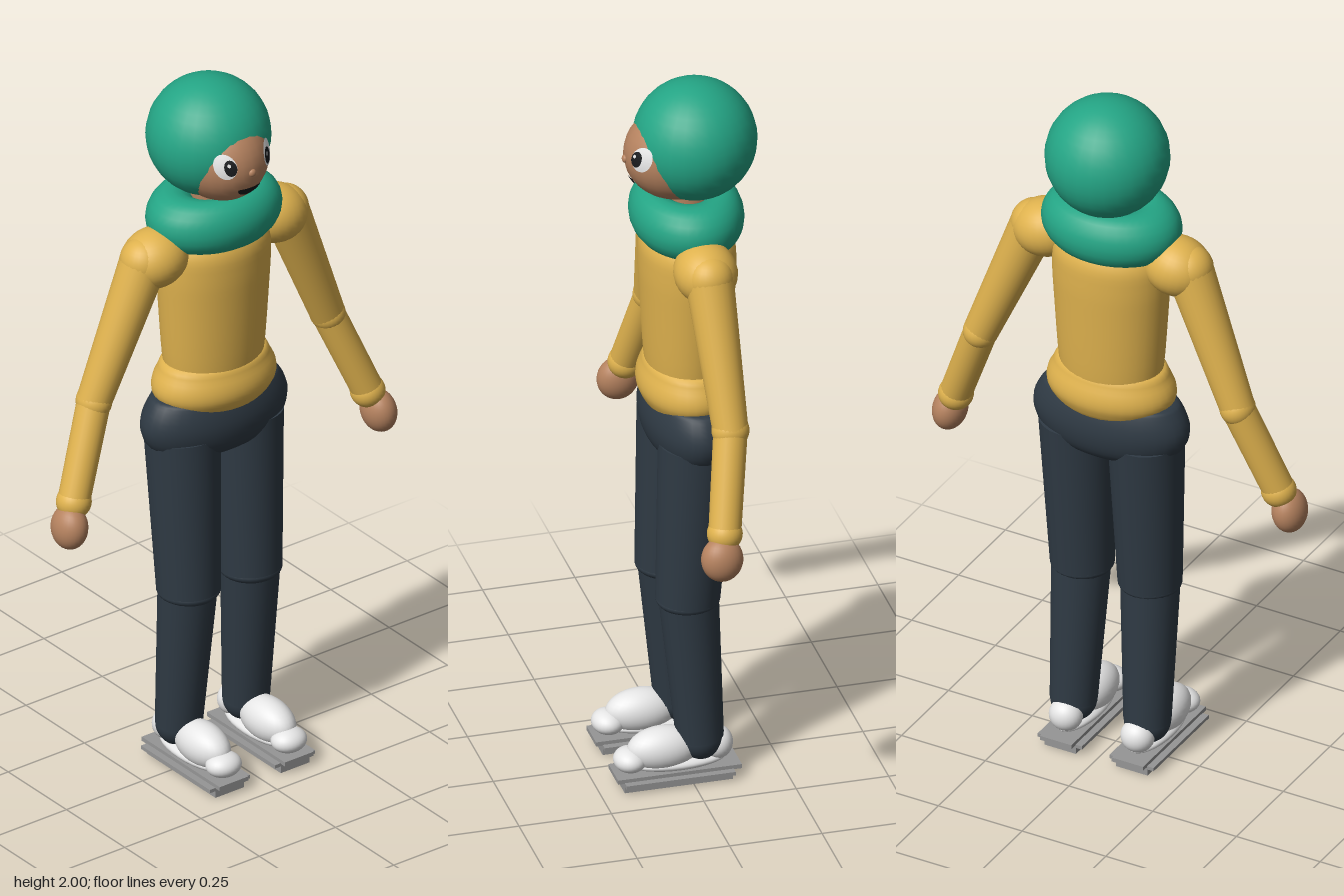
import * as THREE from 'three';

const mat = (name, color) => {
  const m = new THREE.MeshStandardMaterial({ color });
  m.name = name;
  return m;
};

export function createModel() {
  const teal = mat('teal knit', 0x24a585);
  const yellow = mat('yellow sweater', 0xdfb24e);
  const dark = mat('dark trousers', 0x2f3a44);
  const skin = mat('skin', 0xb5825f);
  const white = mat('white', 0xe6e6e6);
  const grey = mat('sole grey', 0x969696);
  const black = mat('black', 0x17191c);

  const model = new THREE.Group();
  model.name = 'figure';

  const add = (name, geometry, material, parent = model) => {
    const mesh = new THREE.Mesh(geometry, material);
    mesh.name = name;
    parent.add(mesh);
    return mesh;
  };
  const ball = (name, material, [x, y, z], [rx, ry, rz], parent) => {
    const m = add(name, new THREE.SphereGeometry(1, 28, 20), material, parent);
    m.position.set(x, y, z);
    m.scale.set(rx, ry, rz);
    return m;
  };
  // Tapered round limb from a to b
  const limb = (name, material, a, b, ra, rb, parent) => {
    const p = new THREE.Vector3(...a), q = new THREE.Vector3(...b);
    const m = add(name, new THREE.CylinderGeometry(ra, rb, p.distanceTo(q), 24), material, parent);
    m.position.copy(p).add(q).multiplyScalar(0.5);
    m.quaternion.setFromUnitVectors(new THREE.Vector3(0, 1, 0), p.clone().sub(q).normalize());
    return m;
  };
  // Turned body section, flattened front to back
  const turned = (name, material, points, depth, z) => {
    const curve = new THREE.SplineCurve(points.map(p => new THREE.Vector2(...p)));
    const profile = curve.getPoints(24).map(p => new THREE.Vector2(Math.max(p.x, 0), p.y));
    const m = add(name, new THREE.LatheGeometry(profile, 36), material);
    m.scale.z = depth;
    m.position.z = z;
    return m;
  };

  // Body
  turned('torso', yellow, [[0.13, 1.12], [0.145, 1.2], [0.158, 1.38], [0.163, 1.48], [0.155, 1.55], [0.1, 1.6], [0, 1.61]], 0.77, -0.024);
  turned('sweaterHem', yellow, [[0, 1.05], [0.13, 1.06], [0.172, 1.095], [0.181, 1.13], [0.165, 1.17], [0.135, 1.2], [0, 1.205]], 0.71, -0.022);
  turned('hips', dark, [[0, 0.92], [0.13, 0.93], [0.2, 0.965], [0.225, 1.025], [0.205, 1.085], [0.165, 1.108], [0, 1.11]], 0.53, -0.022);

  // Head: hood, face, neck and thick collar
  ball('hood', teal, [0, 1.836, -0.045], [0.165, 0.164, 0.164]);
  const face = { c: [0, 1.805, 0], r: [0.123, 0.13, 0.145] };
  ball('face', skin, face.c, face.r);
  limb('neck', skin, [0, 1.72, -0.03], [0, 1.56, -0.03], 0.06, 0.06);
  const collar = add('collar', new THREE.TorusGeometry(0.12, 0.075, 20, 40), teal);
  collar.rotation.x = Math.PI / 2;
  collar.scale.set(1, 0.76, 1);
  collar.position.set(0, 1.622, -0.022);

  // Painted details: flat patches laid onto the curved face
  const patch = (name, material, x, y, rx, ry, lift, start = 0, sweep = Math.PI * 2) => {
    const g = new THREE.RingGeometry(0.001, 1, 24, 4, start, sweep);
    const p = g.attributes.position;
    for (let i = 0; i < p.count; i++) {
      const px = x + p.getX(i) * rx, py = y + p.getY(i) * ry;
      const k = 1 - (px / face.r[0]) ** 2 - ((py - face.c[1]) / face.r[1]) ** 2;
      p.setXYZ(i, px, py, face.r[2] * Math.sqrt(Math.max(k, 0)) + lift);
    }
    g.computeVertexNormals();
    add(name, g, material);
  };
  for (const s of [-1, 1]) {
    const side = s > 0 ? 'left' : 'right';
    patch(side + 'EyeWhite', white, s * 0.068, 1.829, 0.024, 0.034, 0.004);
    patch(side + 'Pupil', black, s * 0.06, 1.828, 0.014, 0.022, 0.007);
    patch(side + 'EyeGlint', white, s * 0.06 - 0.004, 1.836, 0.004, 0.005, 0.009);
  }
  patch('mouth', black, 0, 1.756, 0.036, 0.026, 0.004, Math.PI, Math.PI);
  ball('nose', skin, [0, 1.802, 0.144], [0.011, 0.011, 0.008]);

  // Limbs, mirrored
  for (const s of [-1, 1]) {
    const side = s > 0 ? 'left' : 'right';
    const at = (x, y, z) => [s * x, y, z];

    const arm = new THREE.Group();
    arm.name = side + 'Arm';
    model.add(arm);
    const shoulder = ball('shoulder', yellow, at(0.195, 1.543, -0.02), [0.094, 0.08, 0.084], arm);
    shoulder.rotation.z = s * -0.2;
    limb('upperArm', yellow, at(0.23, 1.545, -0.02), at(0.383, 1.17, -0.035), 0.064, 0.047, arm);
    ball('upperArmCap', yellow, at(0.23, 1.545, -0.02), [0.065, 0.065, 0.065], arm);
    ball('elbow', yellow, at(0.383, 1.17, -0.035), [0.047, 0.047, 0.05], arm);
    limb('forearm', yellow, at(0.383, 1.17, -0.035), at(0.482, 0.925, 0.008), 0.045, 0.043, arm);
    ball('cuff', yellow, at(0.482, 0.922, 0.008), [0.047, 0.045, 0.047], arm);
    const hand = ball('hand', skin, at(0.507, 0.861, 0.022), [0.045, 0.061, 0.056], arm);
    hand.rotation.z = s * 0.12;

    const leg = new THREE.Group();
    leg.name = side + 'Leg';
    model.add(leg);
    limb('thigh', dark, at(0.103, 0.99, -0.022), at(0.101, 0.53, 0.002), 0.102, 0.085, leg);
    ball('knee', dark, at(0.101, 0.53, 0.002), [0.085, 0.035, 0.085], leg);
    limb('shin', dark, at(0.103, 0.53, 0.0), at(0.11, 0.12, -0.028), 0.079, 0.063, leg);
    ball('trouserEnd', dark, at(0.11, 0.12, -0.028), [0.063, 0.065, 0.06], leg);

    // Shoe with a stacked sole
    const shoe = new THREE.Group();
    shoe.name = side + 'Shoe';
    model.add(shoe);
    ball('shoeUpper', white, at(0.107, 0.095, 0.07), [0.057, 0.06, 0.098], shoe);
    ball('toeCap', white, at(0.107, 0.073, 0.16), [0.05, 0.033, 0.044], shoe);
    ball('heel', white, at(0.107, 0.092, -0.075), [0.046, 0.045, 0.042], shoe);
    ball('insole', white, at(0.107, 0.055, 0.03), [0.05, 0.022, 0.13], shoe);
    const plate = (name, w, y0, y1, z0, z1) => {
      const m = add(name, new THREE.BoxGeometry(w, y1 - y0, z1 - z0), grey, shoe);
      m.position.set(s * 0.107, (y0 + y1) / 2, (z0 + z1) / 2);
    };
    plate('soleTop', 0.094, 0.028, 0.04, -0.13, 0.205);
    plate('solePlate', 0.132, 0.02, 0.03, -0.108, 0.187);
    plate('soleBase', 0.094, 0, 0.021, -0.106, 0.187);
  }
  return model;
}
